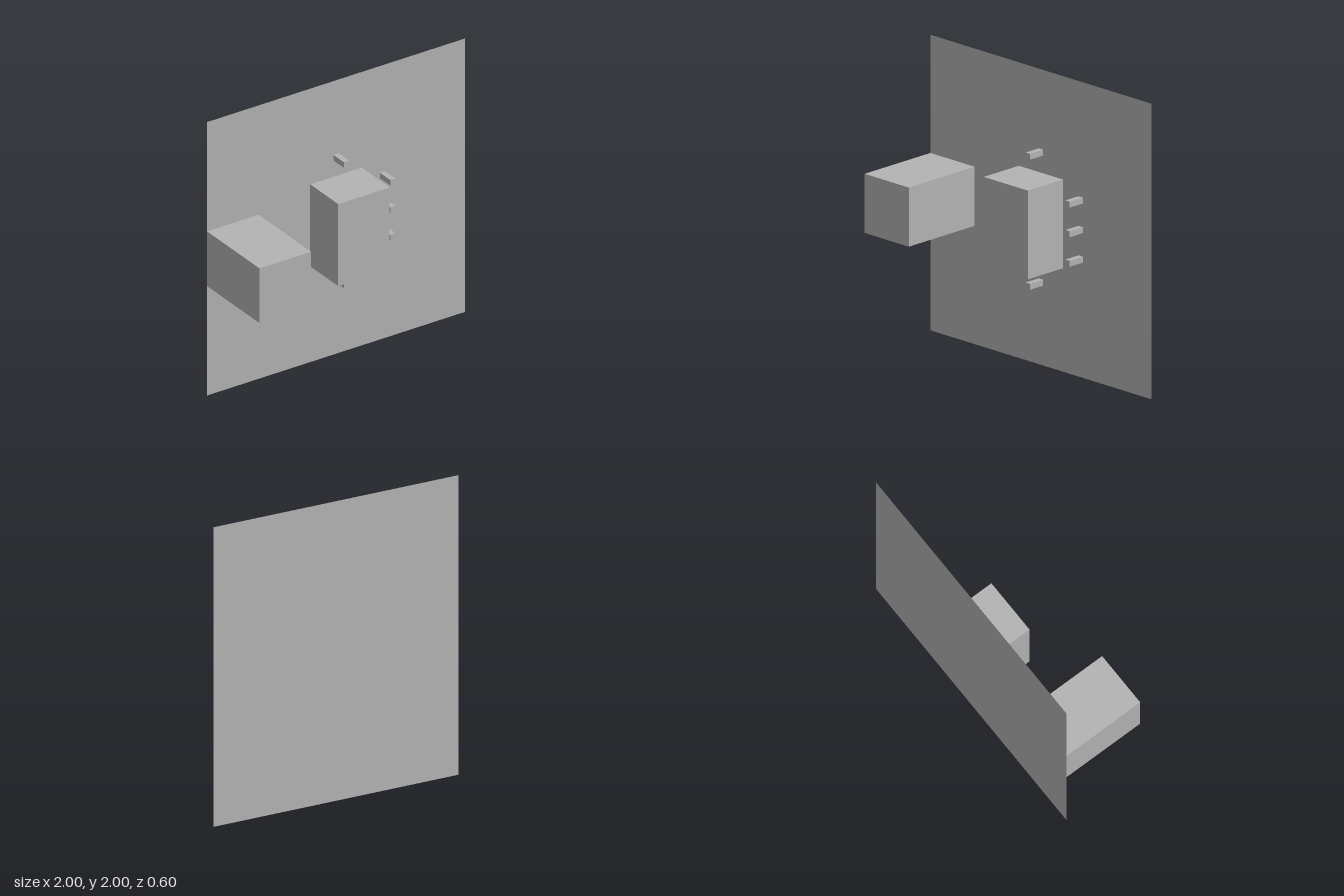
import * as THREE from 'three';

export function createModel() {
  const model = new THREE.Group();
  const grey = new THREE.MeshStandardMaterial({ color: 0xb4b4b4, side: THREE.DoubleSide });
  grey.name = 'grey';
  const wallZ = -0.3;

  // Block standing out from the wall by its depth
  function wallBlock(name, x, y, width, height, depth) {
    const mesh = new THREE.Mesh(new THREE.BoxGeometry(width, height, depth), grey);
    mesh.name = name;
    mesh.position.set(x, y, wallZ + depth / 2);
    model.add(mesh);
  }

  // Thin back wall
  const wall = new THREE.Mesh(new THREE.PlaneGeometry(2, 2), grey);
  wall.name = 'wall';
  wall.position.set(0, 1, wallZ);
  model.add(wall);

  // Large blocks
  wallBlock('sideBlock', -0.8, 1, 0.4, 0.4, 0.6);
  wallBlock('centreBlock', 0, 1, 0.4, 0.6, 0.32);

  // Small pegs above, below and beside the centre block
  const pegs = [[0, 1.44], [0, 0.56], [0.36, 1.2], [0.36, 1], [0.36, 0.8]];
  pegs.forEach(([x, y], i) => wallBlock(`peg${i + 1}`, x, y, 0.04, 0.04, 0.12));

  return model;
}
